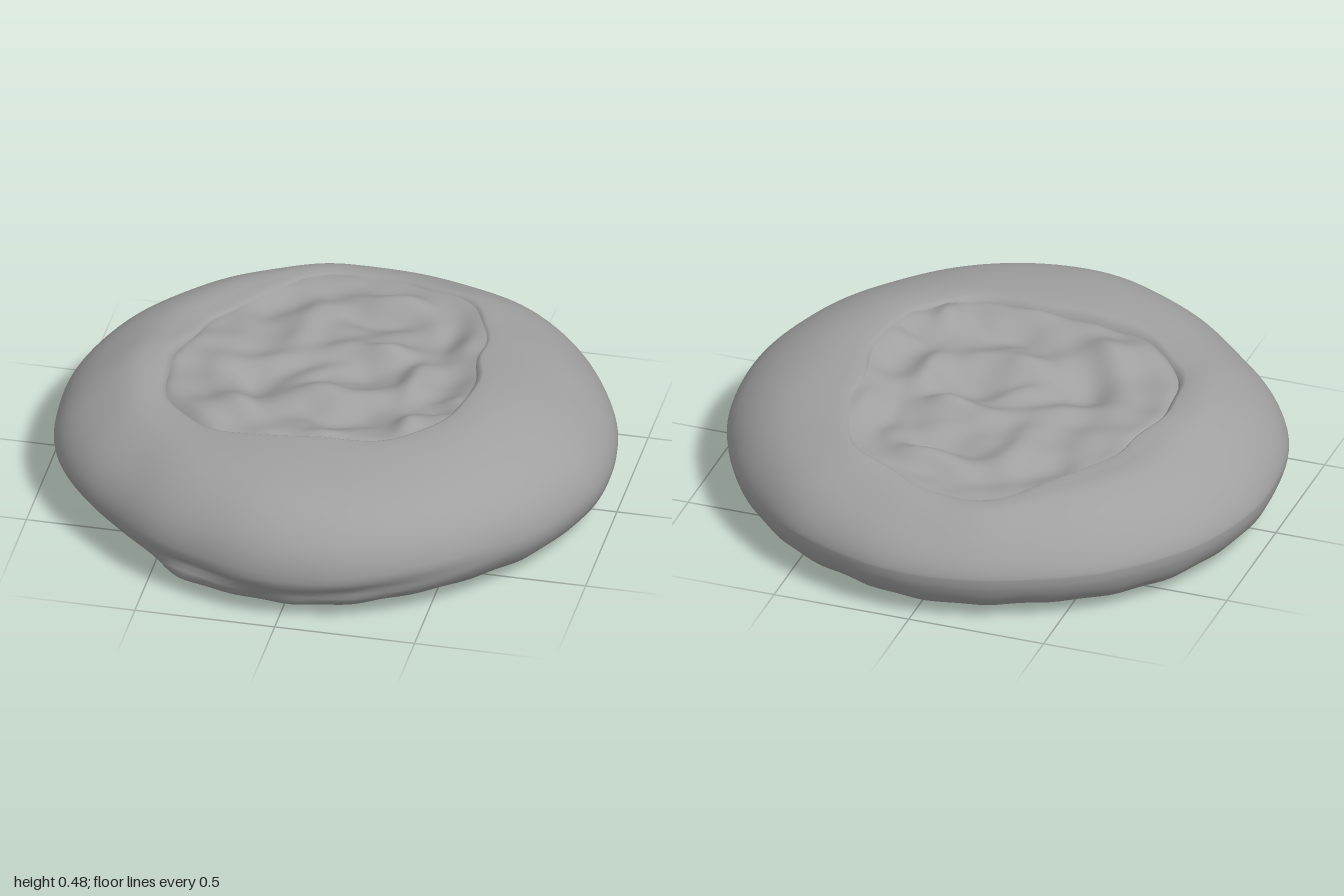
import * as THREE from 'three';

const COLS = 160;
const material = new THREE.MeshStandardMaterial({ color: 0xa0a0a0 });
const { sin, cos, exp, hypot, max, PI } = Math;

// Smooth closed interpolation of values spread evenly round the circle (0 = +x, 90 degrees = +z)
function around(values, t) {
  const n = values.length, f = ((t / (2 * PI)) % 1 + 1) % 1 * n;
  const i = Math.floor(f), k = f - i, v = d => values[(i + d + n) % n];
  const a = v(-1), b = v(0), c = v(1), d = v(2);
  return b + 0.5 * k * (c - a + k * (2 * a - 5 * b + 4 * c - d + k * (3 * (b - c) + d - a)));
}

// Sixteen radii each: outside of the dough, and opening around the filling
const OUTLINE = [.985, .975, .965, .98, .99, .96, .945, .985, .99, 1, .995, .985, 1, .985, .972, .975];
const OPENING = [.55, .63, .67, .65, .62, .64, .65, .58, .53, .49, .50, .58, .62, .62, .62, .59];
// Eight values each: rim height, and roundness of the rim
const RIM_TOP = [.47, .48, .467, .437, .46, .42, .383, .425];
const ROUNDNESS = [1.9, 2.1, 2.3, 1.95, 1.6, 1.6, 1.65, 1.75];
const CENTRE = [-0.07, -0.13];

const bell = (v, mid, width) => exp(-(((v - mid) / width) ** 2));
const degrees = t => t * 180 / PI;
const outer = t => {
  const r = around(OUTLINE, t) + 0.003 * sin(11 * t) * sin(5 * t + 1);
  return [cos(t) * r, sin(t) * r];
};
const opening = (t, s = 1) => {
  const r = s * (around(OPENING, t) + 0.01 * sin(7 * t + 1) + 0.006 * sin(13 * t));
  return [CENTRE[0] + cos(t) * r, CENTRE[1] + sin(t) * r];
};
const rimTop = t => around(RIM_TOP, t) + 0.004 * sin(5 * t);
// The rim slopes softly inwards along the left side
const dip = t => 0.035 * bell(degrees(t), 195, 45);
const rimEdge = t => rimTop(t) - dip(t);
// The dough overhangs the filling at the front and left, and melts into it elsewhere
const groove = t => 0.1 + 0.9 * bell(degrees(t), 125, 60);

// Closed-loop skin: each row is a function of the angle that returns [x, y, z]
function skin(name, rows) {
  const pos = [], index = [];
  rows.forEach(row => {
    for (let j = 0; j < COLS; j++) pos.push(...row(j / COLS * 2 * PI));
  });
  for (let i = 0; i < rows.length - 1; i++) {
    for (let j = 0; j < COLS; j++) {
      const k = (j + 1) % COLS;
      const a = i * COLS + j, b = i * COLS + k, c = b + COLS, d = a + COLS;
      index.push(a, d, b, b, d, c);
    }
  }
  const geometry = new THREE.BufferGeometry();
  geometry.setAttribute('position', new THREE.Float32BufferAttribute(pos, 3));
  geometry.setIndex(index);
  geometry.computeVertexNormals();
  const mesh = new THREE.Mesh(geometry, material);
  mesh.name = name;
  return mesh;
}

// Lumps in the filling: x, z, radius along x, radius along z, height
const LUMPS = [
  [-0.32, 0.28, .12, .10, .045], [-0.27, 0.06, .10, .09, -.05], [-0.46, -0.08, .07, .16, .02],
  [0.10, -0.56, .14, .06, .045], [0.05, -0.45, .13, .05, -.03], [0.42, -0.32, .05, .13, .035],
  [0.32, -0.36, .05, .12, -.025], [0.10, -0.21, .12, .05, .04], [0.27, -0.03, .05, .15, .035],
  [0.10, -0.06, .09, .08, -.035], [0.00, 0.11, .14, .06, .035], [0.33, 0.30, .05, .07, .05],
  [0.08, 0.42, .17, .04, .02], [-0.18, -0.36, .06, .14, .03], [-0.33, -0.45, .08, .10, -.02],
  [0.45, 0.12, .06, .04, .03], [0.46, 0.25, .07, .04, .025], [0.42, 0.18, .07, .03, -.025],
  [0.10, 0.28, .14, .06, -.025],
];

function fillingHeight(x, z) {
  let y = 0.414 + 0.055 * z + 0.02 * x;
  for (const [cx, cz, rx, rz, h] of LUMPS) y += h * bell(x, cx, rx) * bell(z, cz, rz);
  // gentle swirling wrinkles
  const wx = x + 0.06 * sin(8 * z + 1), wz = z + 0.06 * sin(7 * x);
  const swirl = sin(24 * hypot(wx - 0.02, wz + 0.05) + 2 * Math.atan2(wz + 0.05, wx - 0.02));
  y += 0.006 * swirl * Math.min(1, hypot(x, z + 0.05) * 5);
  return y + 0.006 * sin(27 * wx + 12 * wz) * sin(23 * wz - 9 * wx);
}

function doughRows() {
  const rows = [];
  // flat base and lower flank: share of the outline, height
  const lower = [[0, .006], [.3, .006], [.55, .007], [.7, .01], [.83, .014], [.88, .023], [.91, .036],
    [.933, .05], [.952, .067], [.966, .084], [.977, .1], [.986, .12], [.993, .14], [.998, .16], [1, .185]];
  lower.forEach(([s, h]) => rows.push(t => {
    const [x, z] = outer(t), deg = degrees(t);
    let k = s;
    if (s > 0.8) {
      // lip at the front, a notch beside it, then an undercut and a long rising crease
      const rise = 0.06 + 0.0018 * (115 - deg), under = 1 - h / 0.185;
      k += 0.03 * bell(deg, 112, 10) * bell(h, .05, .035) - 0.03 * bell(deg, 108, 14) * bell(h, .13, .025);
      k -= 0.06 * bell(deg, 127, 6) * bell(h, .03, .05);
      k -= 0.05 * bell(deg, 144, 16) * under;
      k -= 0.02 * bell(deg, 78, 24) * bell(h, rise, .03);
      // the flank tucks in towards the base, most of all at the front left
      k -= (0.015 + 0.05 * bell(deg, 50, 32)) * under ** 1.4;
      k += 0.008 * sin(9 * t) * sin(17 * t + 1) * bell(h, .05, .04);
    }
    return [x * k, h, z * k];
  }));
  // rounded rim from the widest line up to the opening
  const steps = 24;
  for (let i = 1; i <= steps; i++) {
    const u = cos(i / steps * PI / 2) ** 0.9;
    rows.push(t => {
      const [ox, oz] = outer(t), [ix, iz] = opening(t);
      const p = around(ROUNDNESS, t);
      const y = 0.185 + (rimTop(t) - 0.185) * (1 - u ** p) ** (1 / p);
      const dent = 0.006 * sin(3 * t + 4 * u) * u * (1 - u) * 4;
      return [ix + (ox - ix) * u, y + dent - dip(t) * bell(u, 0, .22), iz + (oz - iz) * u];
    });
  }
  // edge rolling down under the filling
  [[.98, .006], [.96, .02], [.94, .045], [.92, .1]].forEach(([s, drop]) => rows.push(t => {
    const [x, z] = opening(t, s);
    return [x, rimEdge(t) - drop, z];
  }));
  return rows;
}

function fillingRows() {
  const rows = [], steps = 48;
  for (let i = 0; i <= steps; i++) {
    const s = 1 - i / steps;
    rows.push(t => {
      const [x, z] = opening(t, s);
      // the outer band meets the rim, then sinks beneath the dough
      const blend = max(0, (s - 0.7) / 0.3) ** 2 * (1 - groove(t));
      const y = fillingHeight(x, z) * (1 - blend) + rimEdge(t) * blend;
      return [x, y - 0.04 * groove(t) * max(0, (s - 0.9) / 0.1) ** 2, z];
    });
  }
  return rows;
}

export function createModel() {
  const group = new THREE.Group();
  group.name = 'filledBun';
  group.add(skin('dough', doughRows()), skin('filling', fillingRows()));
  return group;
}
